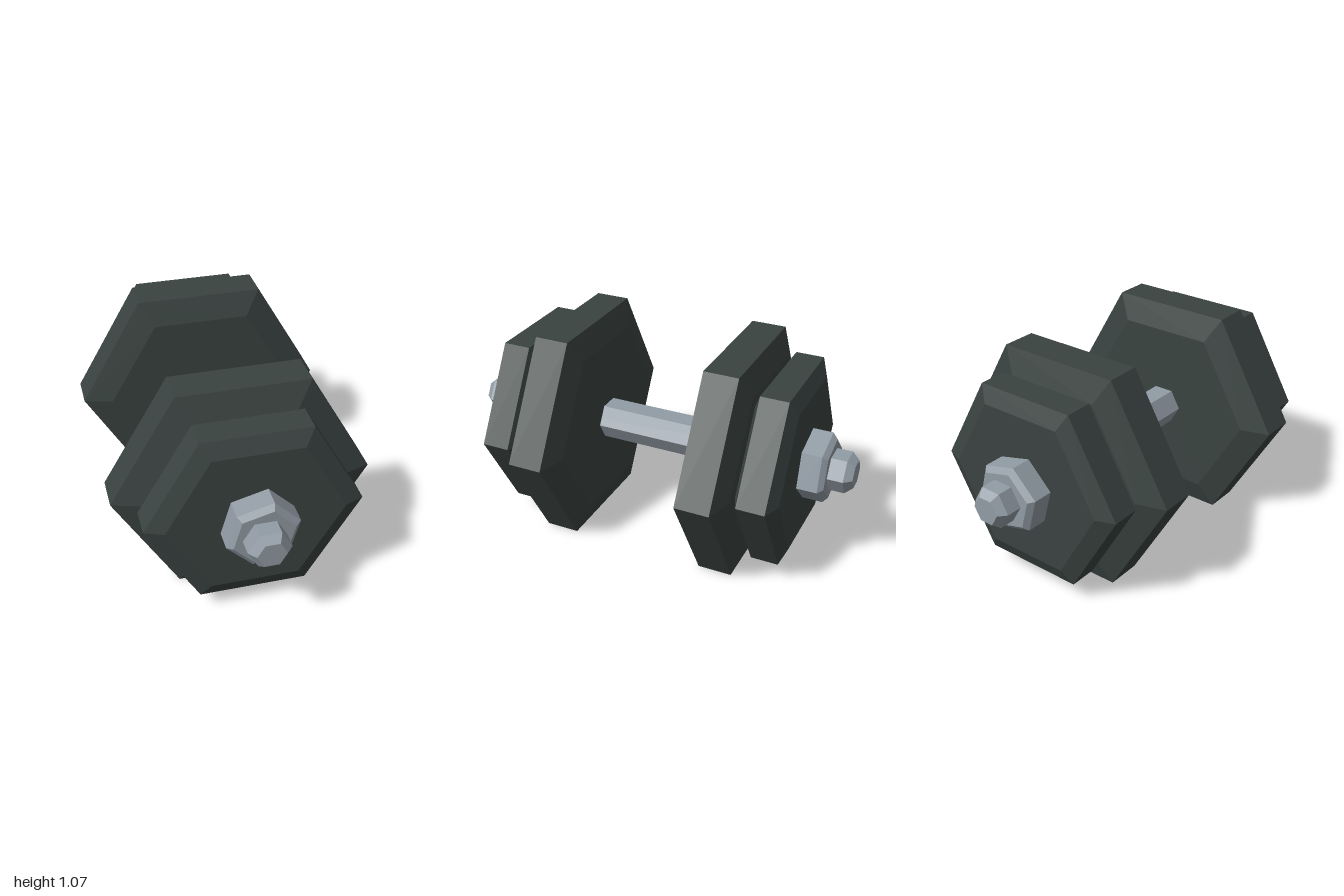
import * as THREE from 'three';

const iron = new THREE.MeshStandardMaterial({ color: 0x3a4341 });
iron.name = 'darkIron';
const steel = new THREE.MeshStandardMaterial({ color: 0x929ca5 });
steel.name = 'steel';

const AXIS_Y = 0.535;

// Faceted six-sided solid along z; profile is [radius, z] from back to front
function hexSolid(name, material, profile, turn = 0) {
  const points = profile.map(([r, z]) => new THREE.Vector2(r, z));
  const lathe = new THREE.LatheGeometry(points, 6, Math.PI / 2 + turn);
  lathe.rotateX(Math.PI / 2);
  const geometry = lathe.toNonIndexed();
  geometry.computeVertexNormals();
  const mesh = new THREE.Mesh(geometry, material);
  mesh.name = name;
  return mesh;
}

// Weight plate with both rims bevelled
function plate(name, radius, inner, z0, z1, bevel) {
  return hexSolid(name, iron, [
    [0, z0], [inner, z0], [radius, z0 + bevel],
    [radius, z1 - bevel], [inner, z1], [0, z1],
  ]);
}

// Plates and nut on one end of the bar
function weightStack(name) {
  const stack = new THREE.Group();
  stack.name = name;
  stack.add(
    plate('largePlate', 0.617, 0.475, 0.302, 0.555, 0.042),
    plate('smallPlate', 0.507, 0.417, 0.558, 0.765, 0.035),
    hexSolid('nut', steel, [
      [0, 0.755], [0.174, 0.755], [0.174, 0.863], [0.146, 0.887], [0, 0.887],
    ], THREE.MathUtils.degToRad(15)),
  );
  return stack;
}

export function createModel() {
  const model = new THREE.Group();
  model.name = 'dumbbell';

  // Bar with tapered tips
  const bar = hexSolid('bar', steel, [
    [0, -1], [0.068, -1], [0.1, -0.963], [0.1, 0.963], [0.068, 1], [0, 1],
  ]);

  // The back end is the front end turned half round
  const front = weightStack('frontWeights');
  const back = weightStack('backWeights');
  back.rotation.y = Math.PI;

  for (const part of [bar, front, back]) {
    part.position.y = AXIS_Y;
    model.add(part);
  }
  return model;
}
